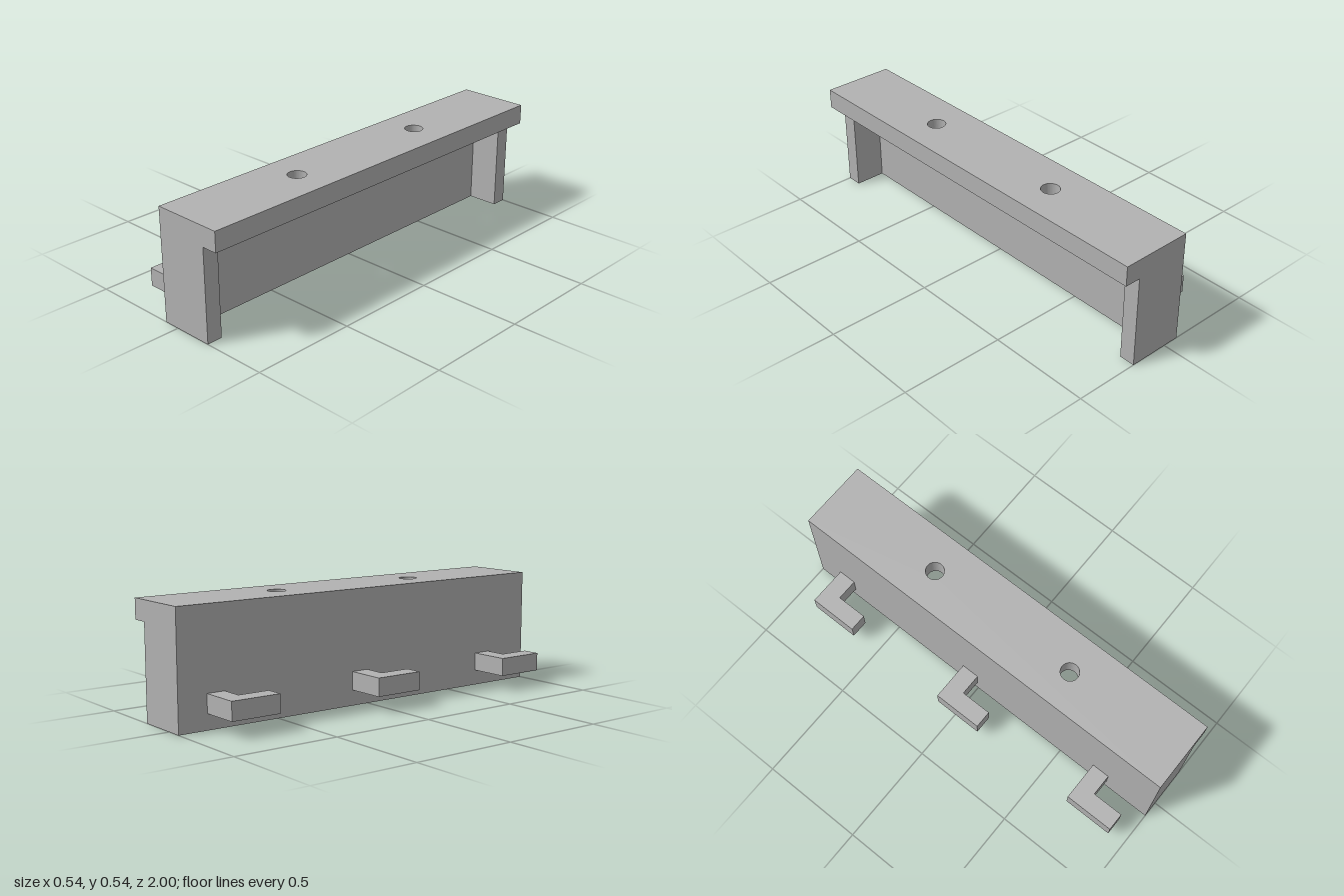
import * as THREE from 'three';

// Extrude a plan outline of [x, z] points upward from y0 to y1
function extrudePlan(points, y0, y1, holes = []) {
  const shape = new THREE.Shape(points.map(([x, z]) => new THREE.Vector2(x, -z)));
  for (const [x, z, r] of holes) {
    shape.holes.push(new THREE.Path().absarc(x, -z, r, 0, Math.PI * 2, true));
  }
  const geometry = new THREE.ExtrudeGeometry(shape, { depth: y1 - y0, bevelEnabled: false, curveSegments: 24 });
  return geometry.rotateX(-Math.PI / 2).translate(0, y0, 0);
}

export function createModel() {
  const group = new THREE.Group();
  const grey = new THREE.MeshStandardMaterial({ color: 0xb2b2b2 });
  grey.name = 'plain grey';

  const add = (name, geometry) => {
    const mesh = new THREE.Mesh(geometry, grey);
    mesh.name = name;
    group.add(mesh);
    return mesh;
  };

  const back = -0.077, wallInner = 0.04, panelFront = 0.191, lip = 0.268;
  const slabBottom = 0.443, top = 0.538, inner = 0.925;

  // Long wall and its two end panels, one C-shaped plan
  add('wallAndEndPanels', extrudePlan([
    [back, 1], [panelFront, 1], [panelFront, inner], [wallInner, inner],
    [wallInner, -inner], [panelFront, -inner], [panelFront, -1], [back, -1],
  ], 0, slabBottom));

  // Overhanging top with two screw holes
  add('topPlate', extrudePlan(
    [[back, 1], [lip, 1], [lip, -1], [back, -1]], slabBottom, top,
    [[0.094, -0.386, 0.043], [0.094, 0.384, 0.043]],
  ));

  // Three L-shaped hooks along the outer face of the wall
  const hookPlan = [
    [back, 0], [-0.268, 0], [-0.268, 0.24], [-0.182, 0.24], [-0.182, 0.087], [back, 0.087],
  ].reverse();
  [-0.86, -0.09, 0.68].forEach((z, i) => {
    add(`hook${i + 1}`, extrudePlan(hookPlan, 0.073, 0.159)).position.z = z;
  });

  return group;
}
